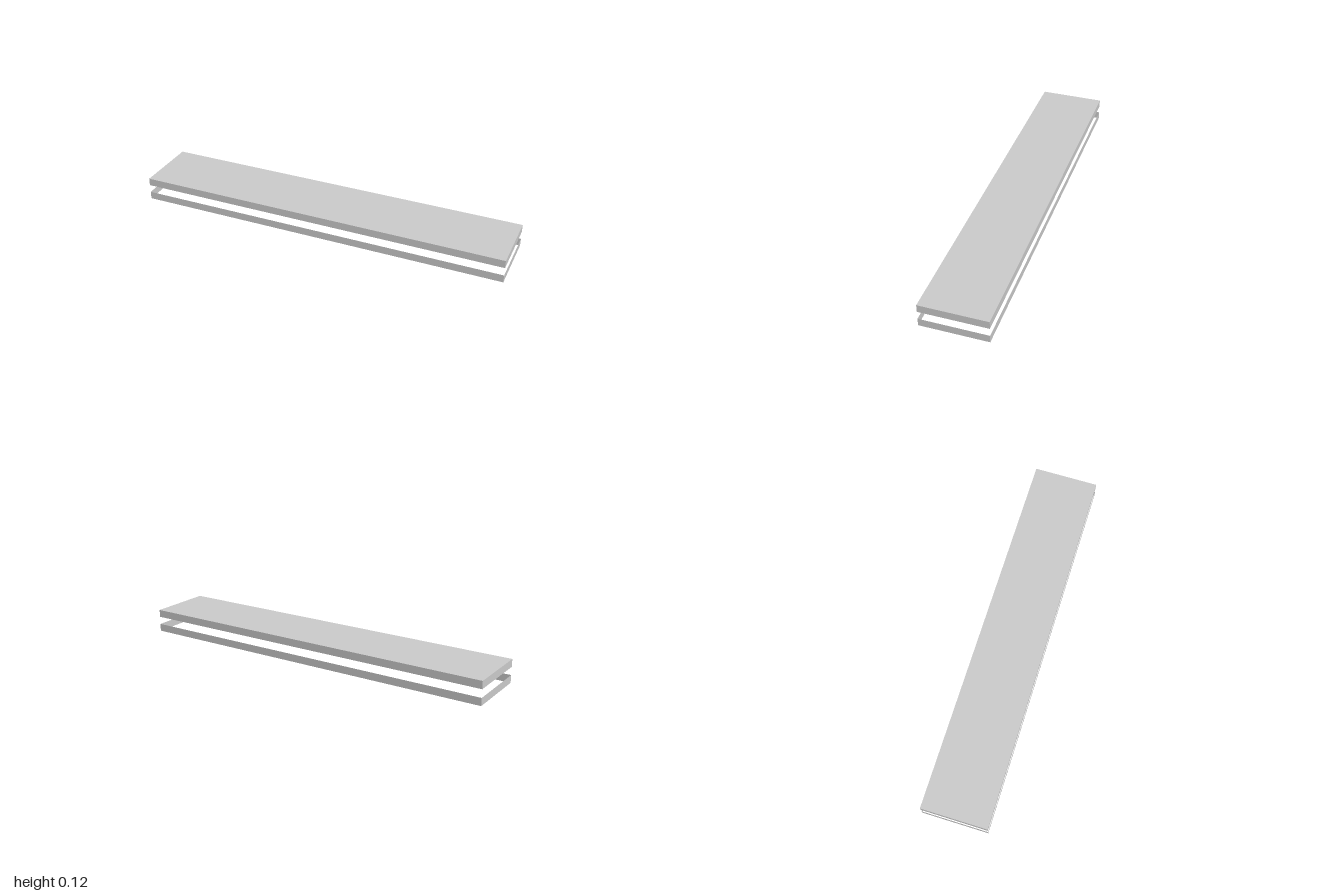
import * as THREE from 'three';

const LENGTH = 2, DEPTH = 0.35, WALL = 0.041, LID_BASE = 0.084;

export function createModel() {
  const model = new THREE.Group();
  const material = new THREE.MeshStandardMaterial({
    color: 0xcccccc, flatShading: true, side: THREE.DoubleSide,
  });

  // Four thin upright walls around a rectangle, standing on y = 0
  function wallFrame(name) {
    const frame = new THREE.Group();
    frame.name = name;
    ['frontWall', 'leftWall', 'backWall', 'rightWall'].forEach((wallName, i) => {
      const [width, offset] = i % 2 ? [DEPTH, LENGTH / 2] : [LENGTH, DEPTH / 2];
      const geometry = new THREE.PlaneGeometry(width, WALL);
      geometry.translate(0, WALL / 2, offset).rotateY(i * Math.PI / 2);
      const wall = new THREE.Mesh(geometry, material);
      wall.name = wallName;
      frame.add(wall);
    });
    return frame;
  }

  // Lower frame, open above and below
  model.add(wallFrame('lowerFrame'));

  // Floating lid: the same frame closed by a top panel, hollow underneath
  const lid = wallFrame('lid');
  const panel = new THREE.Mesh(new THREE.PlaneGeometry(LENGTH, DEPTH), material);
  panel.name = 'topPanel';
  panel.rotation.x = -Math.PI / 2;
  panel.position.y = WALL;
  lid.add(panel);
  lid.position.y = LID_BASE;
  model.add(lid);

  return model;
}
